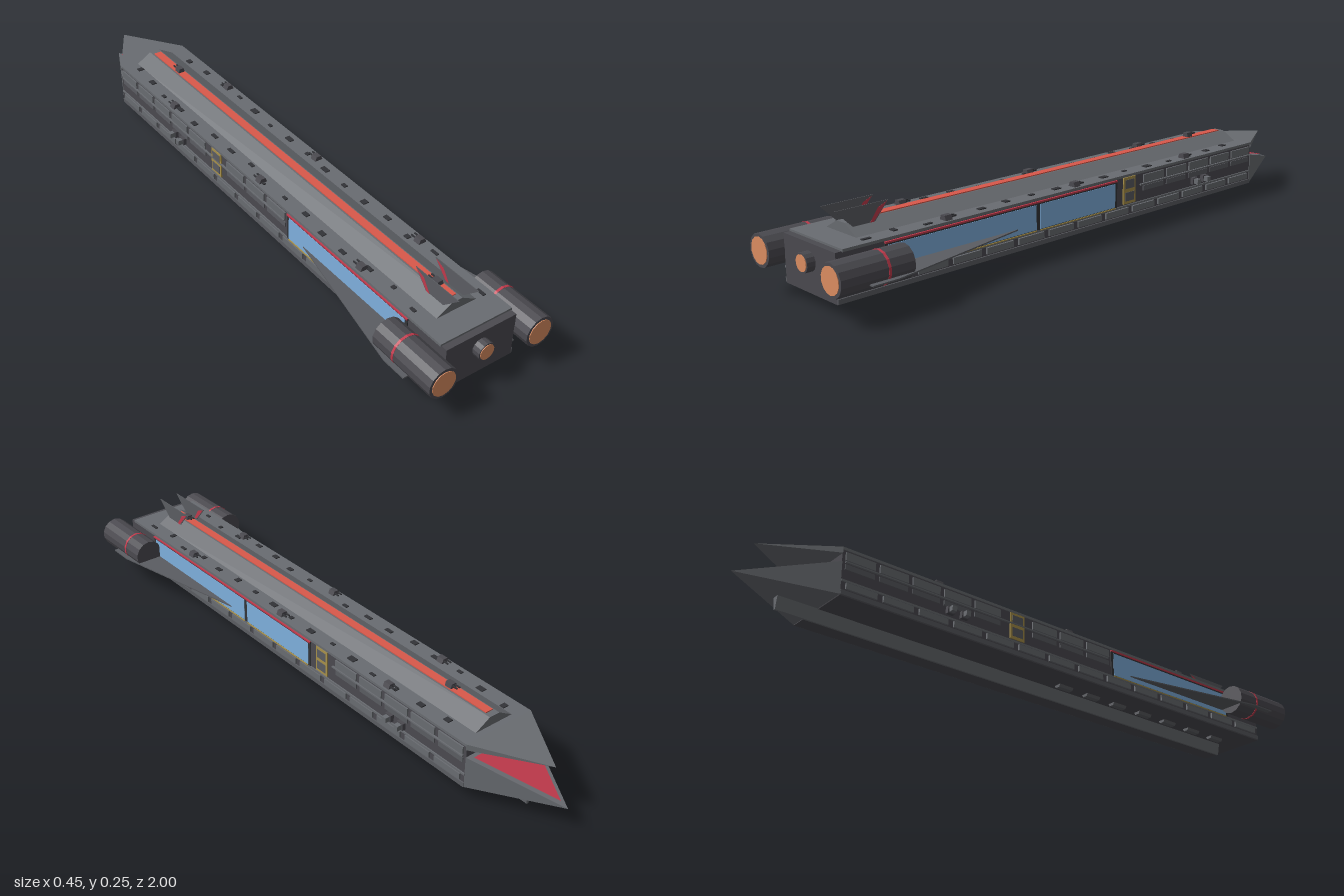
import * as THREE from 'three';
import { ConvexGeometry } from 'three/addons/geometries/ConvexGeometry.js';

const mat = (color) => new THREE.MeshStandardMaterial({ color, flatShading: true, side: THREE.DoubleSide });
const grey = mat(0x696c71), mid = mat(0x5b5d62), dark = mat(0x4b4a50), black = mat(0x333438);
const red = mat(0xd9584a), crimson = mat(0xc03a4c), blue = mat(0x7fb0de), yellow = mat(0xa8914a), orange = mat(0xdd8e62);

export function createModel() {
  const ship = new THREE.Group();
  ship.name = 'spaceship';

  const add = (name, geometry, material, parent = ship) => {
    const mesh = new THREE.Mesh(geometry, material);
    mesh.name = name;
    parent.add(mesh);
    return mesh;
  };
  // Box given by its min and max on each axis
  const box = (name, [x0, x1], [y0, y1], [z0, z1], material, parent) => {
    const g = new THREE.BoxGeometry(Math.abs(x1 - x0), y1 - y0, z1 - z0);
    g.translate((x0 + x1) / 2, (y0 + y1) / 2, (z0 + z1) / 2);
    return add(name, g, material, parent);
  };
  const shape = (pts) => new THREE.Shape(pts.map(([a, b]) => new THREE.Vector2(a, b)));
  // Cross-section in x, y swept along z
  const prism = (name, pts, z0, z1, material) => {
    const g = new THREE.ExtrudeGeometry(shape(pts), { depth: z1 - z0, bevelEnabled: false });
    return add(name, g.translate(0, 0, z0), material);
  };
  // Outline in x, z given a thickness in y
  const plate = (name, pts, y0, y1, material) => {
    const g = new THREE.ExtrudeGeometry(shape(pts.map(([x, z]) => [x, -z])), { depth: y1 - y0, bevelEnabled: false });
    return add(name, g.rotateX(-Math.PI / 2).translate(0, y0, 0), material);
  };
  const hull = (name, pts, material) =>
    add(name, new ConvexGeometry(pts.map((p) => new THREE.Vector3(...p))), material);
  const tube = (name, r, x, y, z0, z1, material, sides = 14) => {
    const g = new THREE.CylinderGeometry(r, r, z1 - z0, sides);
    return add(name, g.rotateX(Math.PI / 2).translate(x, y, (z0 + z1) / 2), material);
  };

  // Main body, deck and roof ridge
  box('hull', [-0.12, 0.12], [0.038, 0.178], [-0.74, 0.95], dark);
  box('deck', [-0.123, 0.123], [0.176, 0.184], [-0.74, 0.93], grey);
  prism('roofRidge', [[-0.07, 0.183], [0.07, 0.183], [0.018, 0.213], [-0.018, 0.213]], -0.72, 0.85, grey);
  box('roofStripe', [-0.013, 0.013], [0.212, 0.216], [-0.7, 0.83], red);
  prism('keel', [[-0.003, 0], [0.003, 0], [0.011, 0.039], [-0.011, 0.039]], -0.865, 0.875, grey);

  // Split nose: thin upper blade over a lower wedge with a red panel
  hull('upperNose', [[-0.123, 0.165, -0.74], [0.123, 0.165, -0.74], [-0.123, 0.184, -0.74],
    [0.123, 0.184, -0.74], [0, 0.173, -0.945]], grey);
  hull('lowerNose', [[-0.122, 0.04, -0.74], [0.122, 0.04, -0.74], [-0.122, 0.14, -0.74],
    [0.122, 0.14, -0.74], [0, 0.07, -1]], grey);
  const corners = [[-0.122, 0.14, -0.74], [0.122, 0.14, -0.74], [0, 0.07, -1]];
  const centre = [0, 0.1167, -0.8267];
  const panel = new THREE.BufferGeometry().setFromPoints(corners.map((p) =>
    new THREE.Vector3(...p.map((v, i) => centre[i] + (v - centre[i]) * 0.85)).add(new THREE.Vector3(0, 0.003, 0))));
  panel.computeVertexNormals();
  add('nosePanel', panel, crimson);

  // Central engine
  tube('centralEngine', 0.028, 0, 0.128, 0.94, 0.975, dark);
  tube('centralGlow', 0.024, 0, 0.128, 0.97, 0.977, orange);

  for (const s of [1, -1]) {
    const X = (a, b) => [s * a, s * b];

    // Side engines
    tube('engine', 0.048, s * 0.166, 0.128, 0.77, 0.998, dark);
    tube('engineRing', 0.0488, s * 0.166, 0.128, 0.846, 0.854, crimson);
    tube('engineGlow', 0.039, s * 0.166, 0.128, 0.99, 1, orange);

    // Wing and tail fin
    plate('wing', [[s * 0.115, 0.29], [s * 0.215, 0.79], [s * 0.223, 0.83], [s * 0.223, 0.91], [s * 0.115, 0.91]],
      0.103, 0.107, mid);
    const fin = (name, pts, w, m) => {
      const g = new THREE.ExtrudeGeometry(shape(pts.map(([z, y]) => [-z, y])), { depth: w, bevelEnabled: false });
      add(name, g.translate(0, 0, -w / 2).rotateY(Math.PI / 2).translate(s * 0.034, 0, 0), m);
    };
    fin('tailFin', [[0.77, 0.198], [0.83, 0.198], [0.89, 0.255], [0.72, 0.255]], 0.002, mid);
    fin('finEdge', [[0.77, 0.202], [0.782, 0.202], [0.755, 0.24], [0.725, 0.252]], 0.003, crimson);

    // Lower side: rails and a row of panels
    box('lowerRail', X(0.119, 0.124), [0.04, 0.054], [-0.74, 0.95], mid);
    box('middleRail', X(0.119, 0.124), [0.08, 0.086], [-0.74, 0.95], grey);
    for (let i = 0; i < 14; i++) {
      const z = -0.725 + i * 0.12;
      box('lowerPanel', X(0.119, 0.126), [0.059, 0.078], [z, z + 0.1], grey);
    }

    // Upper side panels run back to the first window
    const panelEnd = s > 0 ? -0.18 : 0.24;
    for (let z = -0.73; z < panelEnd - 0.08; z += 0.11) {
      if (s < 0 && z > -0.25 && z < -0.08) continue;
      box('upperPanel', X(0.119, 0.125), [0.145, 0.17], [z, z + 0.095], grey);
      box('middlePanel', X(0.119, 0.123), [0.118, 0.134], [z, z + 0.095], mid);
    }
    box('sideRail', X(0.119, 0.126), [0.138, 0.142], [-0.73, panelEnd], grey);

    // Windows with frames; the left side carries a second one
    const windows = s > 0 ? [[0.265, 0.79], [-0.065, 0.25]] : [[0.265, 0.79]];
    for (const [a, b] of windows) {
      box('windowFrame', X(0.119, 0.123), [0.083, 0.172], [a - 0.01, b + 0.01], black);
      box('window', X(0.119, 0.1245), [0.089, 0.164], [a, b], blue);
      box('windowTrim', X(0.119, 0.126), [0.169, 0.174], [a - 0.01, b + 0.01], crimson);
      box('windowSill', X(0.119, 0.126), [0.084, 0.087], [a, b], yellow);
    }

    // Hatch
    box('hatch', X(0.119, 0.124), [0.09, 0.175], [-0.157, -0.103], yellow);
    for (const y of [0.099, 0.139]) box('hatchDoor', X(0.119, 0.1255), [y, y + 0.028], [-0.15, -0.11], mid);

    // Side thruster pods
    for (const z of s > 0 ? [-0.49, -0.44] : [-0.38, -0.33]) {
      box('sidePod', X(0.119, 0.148), [0.097, 0.113], [z - 0.008, z + 0.008], grey);
      box('podCollar', X(0.119, 0.132), [0.094, 0.116], [z - 0.012, z + 0.012], dark);
    }

    // Deck turrets
    for (const z of [-0.41, 0.09, 0.58]) {
      prism('turret', [[s * 0.103 - 0.014, 0.183], [s * 0.103 + 0.014, 0.183], [s * 0.103 + 0.008, 0.198],
        [s * 0.103 - 0.008, 0.198]], z - 0.012, z + 0.012, dark);
      for (const d of [-0.006, 0.006]) {
        box('turretBarrel', [s * 0.103 + d - 0.002, s * 0.103 + d + 0.002], [0.189, 0.193], [z - 0.03, z], black);
      }
    }

    // Belly pods
    for (let i = 0; i < 7; i++) {
      const z = 0.1 + i * 0.115;
      prism('bellyPod', [[s * 0.04 - 0.013, 0.039], [s * 0.04 + 0.013, 0.039], [s * 0.04 + 0.008, 0.029],
        [s * 0.04 - 0.008, 0.029]], z, z + 0.055, mid);
    }
  }

  // Ridge turrets
  for (const z of [-0.55, 0.77]) {
    prism('ridgeTurret', [[-0.012, 0.213], [0.012, 0.213], [0.008, 0.23], [-0.008, 0.23]], z - 0.012, z + 0.012, dark);
    for (const x of [-0.005, 0.005]) box('ridgeBarrel', [x - 0.002, x + 0.002], [0.222, 0.226], [z - 0.03, z], black);
  }

  // Small fittings scattered on the deck edges
  let seed = 7;
  const rand = () => (seed = (seed * 16807) % 2147483647) / 2147483647;
  for (let i = 0; i < 32; i++) {
    const x = (i % 2 ? 1 : -1) * (0.08 + rand() * 0.027), z = -0.68 + i * 0.049;
    const w = 0.004 + rand() * 0.006, l = 0.005 + rand() * 0.01;
    box('deckFitting', [x - w, x + w], [0.183, 0.187], [z - l, z + l], black);
  }
  return ship;
}
